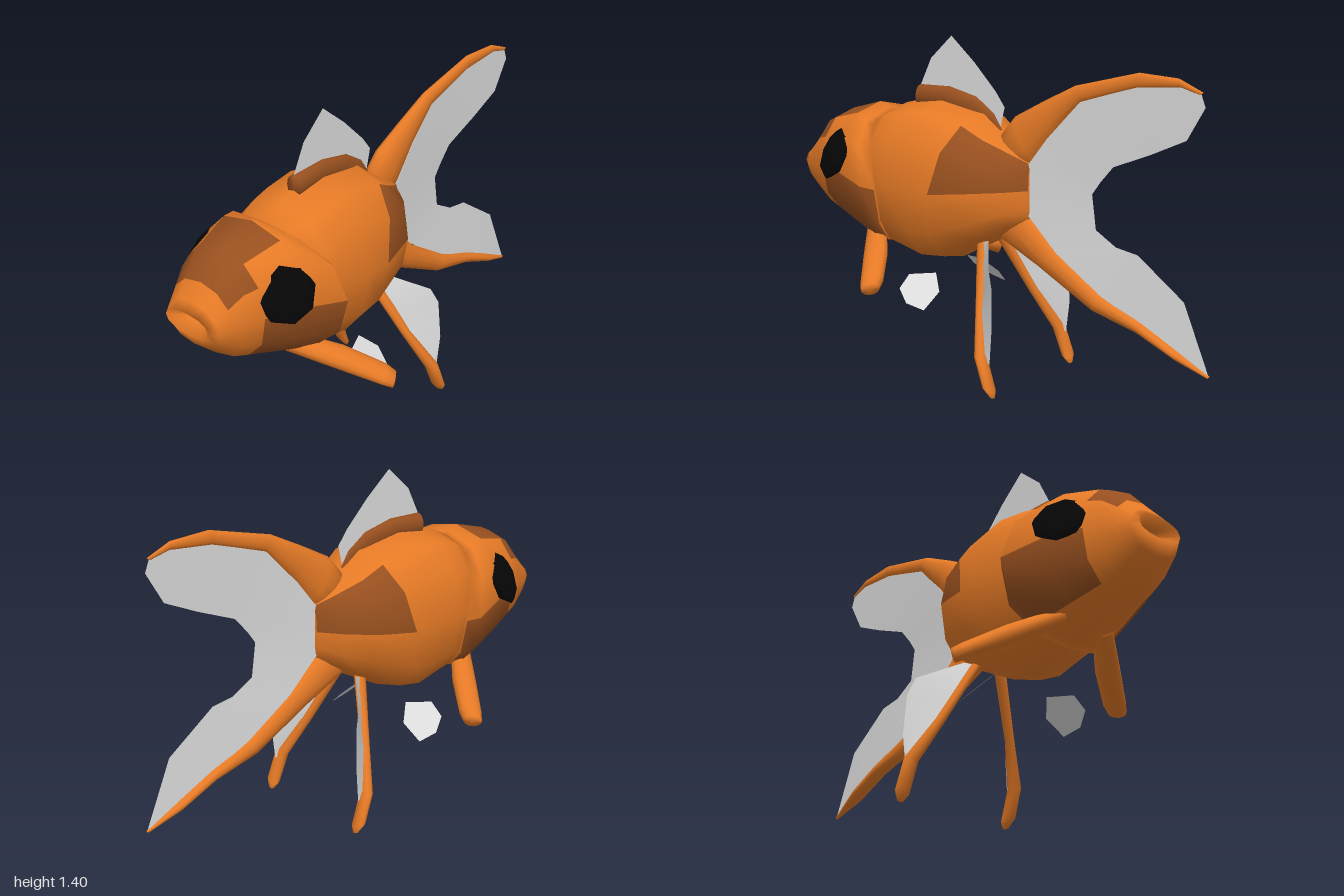
import * as THREE from 'three';

const SIDES = 12;

// Skin rings from front to back. Each ring is [top, bottom, halfWidth, bend]:
// bend slides the ring's flanks along x. pick(row, column) chooses a material index.
function loft(rings, side, power = 1, pick = () => 0) {
  const pos = [], buckets = [[], []];
  const sv = new THREE.Vector3(...side).normalize();
  const soft = (v) => Math.sign(v) * Math.abs(v) ** power;
  const ends = [];
  rings.forEach(([top, bottom, w, bend = 0], i) => {
    const a = new THREE.Vector3(...top), b = new THREE.Vector3(...bottom);
    const c = a.clone().add(b).multiplyScalar(0.5);
    const u = a.clone().sub(c);
    for (let k = 0; k < SIDES; k++) {
      const t = (k / SIDES) * Math.PI * 2;
      const p = c.clone().addScaledVector(u, soft(Math.cos(t))).addScaledVector(sv, w * soft(Math.sin(t)));
      p.x += bend * Math.sin(t) ** 2;
      pos.push(p.x, p.y, p.z);
    }
    if (i === 0 || i === rings.length - 1) ends.push(c);
  });
  const n = rings.length;
  ends.forEach((c) => pos.push(c.x, c.y, c.z));
  for (let k = 0; k < SIDES; k++) {
    const k2 = (k + 1) % SIDES;
    for (let i = 0; i < n - 1; i++) {
      const a = i * SIDES + k, b = i * SIDES + k2;
      buckets[pick(i, Math.min(k, SIDES - 1 - k))].push(a, b, b + SIDES, a, b + SIDES, a + SIDES);
    }
    const last = (n - 1) * SIDES;
    buckets[0].push(n * SIDES, k2, k, n * SIDES + 1, last + k, last + k2);
  }
  const g = new THREE.BufferGeometry();
  g.setAttribute('position', new THREE.Float32BufferAttribute(pos, 3));
  g.setIndex([...buckets[0], ...buckets[1]]);
  g.addGroup(0, buckets[0].length, 0);
  g.addGroup(buckets[0].length, buckets[1].length, 1);
  g.computeVertexNormals();
  return g;
}

// Membrane between a root line and a free edge; widths thicken the root point by point
function membrane(root, edge, widths) {
  const pos = [], idx = [];
  for (const s of widths ? [1, -1] : [1]) {
    const base = pos.length / 3;
    root.forEach((r, i) => {
      const e = edge[i];
      pos.push(r[0], r[1], (r[2] || 0) + (widths ? s * widths[i] : 0), e[0], e[1], e[2] || 0);
      if (i) {
        const a = base + 2 * i - 2;
        if (s > 0) idx.push(a, a + 2, a + 1, a + 1, a + 2, a + 3);
        else idx.push(a, a + 1, a + 2, a + 1, a + 3, a + 2);
      }
    });
  }
  const g = new THREE.BufferGeometry();
  g.setAttribute('position', new THREE.Float32BufferAttribute(pos, 3));
  g.setIndex(idx);
  g.computeVertexNormals();
  return g;
}

// Ring in the middle plane: top x, top y, bottom x, bottom y, half width, bend
const mid = ([ax, ay, bx, by, w, bend]) => [[ax, ay, 0], [bx, by, 0], w, bend];

export function createModel() {
  const material = (name, color, side = THREE.FrontSide) => {
    const m = new THREE.MeshStandardMaterial({ color, side });
    m.name = name;
    return m;
  };
  const orange = material('orange scales', 0xe67a26, THREE.DoubleSide);
  const brown = material('brown patches', 0x98501f, THREE.DoubleSide);
  const white = material('pale fin', 0xdcdcdc, THREE.DoubleSide);
  const black = material('black eye', 0x060606);

  const fish = new THREE.Group();
  fish.name = 'fish';
  const add = (name, geometry, mat, parent = fish) => {
    const m = new THREE.Mesh(geometry, mat);
    m.name = name;
    parent.add(m);
    return m;
  };
  const Z = [0, 0, 1];

  // Body with a brown patch on each rear flank
  add('body', loft([
    [-0.62, 1.04, -0.62, 0.56, 0.2],
    [-0.5, 1.1, -0.5, 0.5, 0.25],
    [-0.42, 1.12, -0.42, 0.485, 0.26],
    [-0.28, 1.14, -0.3, 0.455, 0.268],
    [-0.07, 1.1, -0.19, 0.475, 0.26, -0.04],
    [0, 1.04, 0, 0.575, 0.22],
    [0.1, 0.98, 0.1, 0.64, 0.13],
    [0.17, 0.93, 0.17, 0.69, 0.035],
  ].map(mid), Z, 0.87, (i, k) => (i >= 4 && (k === 1 || k === 2) ? 1 : 0)), [orange, brown]);

  // Head with recessed mouth, flared gill covers, brown brow and cheeks
  add('head', loft([
    [-0.94, 0.83, -0.94, 0.79, 0.06],
    [-1, 0.855, -1, 0.765, 0.11],
    [-0.97, 0.89, -0.97, 0.71, 0.13],
    [-0.92, 0.95, -0.92, 0.665, 0.153],
    [-0.86, 1.02, -0.87, 0.62, 0.18],
    [-0.81, 1.045, -0.8, 0.595, 0.205],
    [-0.65, 1.09, -0.66, 0.55, 0.265],
    [-0.6, 1.07, -0.54, 0.51, 0.32, 0.09],
    [-0.58, 1.05, -0.5, 0.5, 0.28, 0.1],
    [-0.6, 1, -0.52, 0.55, 0.22, 0.08],
  ].map(mid), Z, 0.88, (i, k) => {
    const brow = ((i === 3 || i === 4) && k < 2) || (i === 5 && k === 0);
    const cheek = i >= 5 && i <= 7 && (k === 3 || k === 4);
    return brow || cheek ? 1 : 0;
  }), [orange, brown]);

  // Dorsal fin
  add('dorsalFinBase', loft([
    [-0.42, 1.185, -0.42, 1.09, 0.034],
    [-0.26, 1.19, -0.28, 1.1, 0.03],
    [-0.12, 1.16, -0.14, 1.07, 0.022],
    [-0.03, 1.1, -0.05, 1.03, 0.012],
    [0.01, 1.04, 0, 1.01, 0.004],
  ].map(mid), Z), brown);
  add('dorsalFinMembrane', membrane(
    [[-0.42, 1.1], [-0.3, 1.12], [-0.22, 1.12], [-0.1, 1.1], [0, 1.04], [0, 1.03]],
    [[-0.42, 1.18], [-0.36, 1.3], [-0.25, 1.4], [-0.13, 1.3], [-0.02, 1.19], [0.025, 1.13]]), white);

  // Forked tail: two tapering rays with a membrane between
  add('upperTailRay', loft([
    [0.01, 1.02, 0.13, 0.88, 0.05],
    [0.08, 1.1, 0.18, 0.93, 0.045],
    [0.22, 1.175, 0.28, 1.06, 0.033],
    [0.37, 1.25, 0.41, 1.19, 0.022],
    [0.66, 1.325, 0.65, 1.265, 0.014],
    [0.83, 1.318, 0.84, 1.285, 0.011],
    [0.935, 1.275, 0.92, 1.265, 0.004],
  ].map(mid), Z), orange);
  add('lowerTailRay', loft([
    [0.13, 0.73, 0, 0.59, 0.045],
    [0.3, 0.57, 0.2, 0.5, 0.036],
    [0.51, 0.43, 0.47, 0.36, 0.033],
    [0.69, 0.36, 0.68, 0.31, 0.033],
    [0.83, 0.29, 0.86, 0.235, 0.033],
    [1, 0.2, 0.99, 0.19, 0.004],
  ].map(mid), Z), orange);
  add('tailMembrane', membrane(
    [[0.92, 1.28], [0.84, 1.29], [0.65, 1.27], [0.4, 1.19], [0.25, 1.03], [0.15, 0.9],
      [0.15, 0.72], [0.3, 0.57], [0.51, 0.43], [0.82, 0.29], [0.99, 0.2]],
    [[0.945, 1.22], [0.87, 1.09], [0.72, 1.02], [0.55, 0.95], [0.49, 0.88], [0.455, 0.83],
      [0.475, 0.69], [0.57, 0.635], [0.67, 0.62], [0.88, 0.47], [0.995, 0.2]],
    [0.002, 0.004, 0.006, 0.012, 0.02, 0.026, 0.026, 0.02, 0.014, 0.008, 0.002]), white);

  // Paired parts
  for (const s of [1, -1]) {
    const half = new THREE.Group();
    half.name = s > 0 ? 'leftHalf' : 'rightHalf';
    half.scale.z = s;
    fish.add(half);

    // Eye: shallow eight-sided dome facing out, up and forward
    const eyeShape = new THREE.SphereGeometry(0.117, 8, 6).rotateX(Math.PI / 2).scale(1, 1, 0.33);
    const eye = add('eye', eyeShape, black, half);
    eye.position.set(-0.71, 0.89, 0.222);
    eye.quaternion.setFromUnitVectors(new THREE.Vector3(0, 0, 1), new THREE.Vector3(-0.42, 0.42, 0.8).normalize());

    // Pectoral fin: stubby ray reaching in under the gill cover
    add('pectoralFinRay', loft([
      [[-0.58, 0.61, 0.1], [-0.6, 0.54, 0.1], 0.04],
      [[-0.44, 0.535, 0.26], [-0.47, 0.455, 0.26], 0.05],
      [[-0.34, 0.455, 0.395], [-0.37, 0.39, 0.395], 0.046],
      [[-0.325, 0.43, 0.43], [-0.345, 0.375, 0.425], 0.038],
    ], [-0.77, 0, 0.63]), orange, half);

    // Small membrane slanting outward and down from the belly
    const slant = ([x, y]) => [x, y, 0.275 - 0.25 * (x + 0.22) - 1.1 * (y - 0.315)];
    add('pectoralFinMembrane', membrane(
      [[-0.335, 0.365], [-0.27, 0.32], [-0.18, 0.305]].map(slant),
      [[-0.33, 0.415], [-0.22, 0.43], [-0.16, 0.37]].map(slant)), white, half);

    // Pelvic fin: long trailing ray with a membrane behind it
    add('pelvicFinRay', loft([
      [[-0.01, 0.58, 0.06], [-0.07, 0.58, 0.06], 0.015],
      [[0.06, 0.33, 0.18], [0.02, 0.33, 0.18], 0.02],
      [[0.14, 0.16, 0.268], [0.085, 0.16, 0.268], 0.03],
      [[0.18, 0.03, 0.272], [0.135, 0.05, 0.275], 0.034],
      [[0.18, 0.005, 0.272], [0.165, 0.01, 0.272], 0.015],
    ], [0, 0.2, 0.94]), orange, half);
    add('pelvicFinMembrane', membrane(
      [[-0.04, 0.57, 0.07], [-0.01, 0.5, 0.1], [0.03, 0.4, 0.15], [0.06, 0.3, 0.2], [0.12, 0.15, 0.265]],
      [[0.01, 0.59, 0.09], [0.13, 0.52, 0.24], [0.16, 0.45, 0.26], [0.167, 0.28, 0.27], [0.153, 0.14, 0.265]]), white, half);
  }
  return fish;
}
